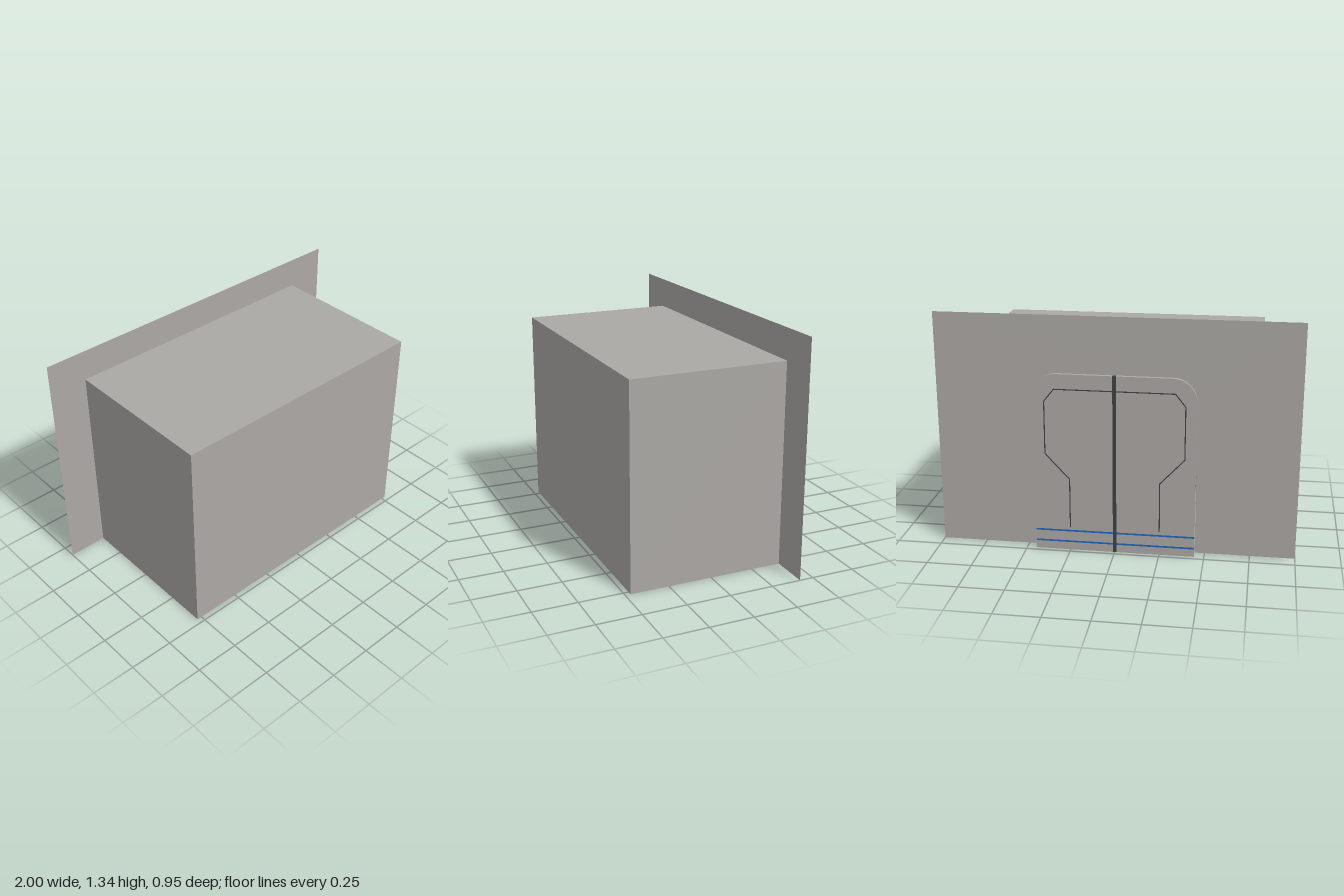
import * as THREE from 'three';

const grey = new THREE.MeshStandardMaterial({ color: 0xaba8a4, side: THREE.DoubleSide });
grey.name = 'warm grey';
const dark = new THREE.MeshStandardMaterial({ color: 0x3e4242 });
dark.name = 'dark grey';
const blue = new THREE.MeshStandardMaterial({ color: 0x1f66c0 });
blue.name = 'stripe blue';

const HALF = 0.445, TOP = 1.025, RADIUS = 0.13; // doorway outline
const WALL_Z = -0.42, DOOR_BACK = -0.475, DOOR_DEPTH = 0.02;

function add(parent, name, geometry, material, x = 0, y = 0, z = 0) {
  const mesh = new THREE.Mesh(geometry, material);
  mesh.name = name;
  mesh.position.set(x, y, z);
  parent.add(mesh);
  return mesh;
}

// Half of the arched outline, from x = inner to the jamb on the given side
function leafShape(side, inner) {
  const s = new THREE.Shape();
  s.moveTo(side * inner, 0);
  s.lineTo(side * HALF, 0);
  s.lineTo(side * HALF, TOP - RADIUS);
  s.absarc(side * (HALF - RADIUS), TOP - RADIUS, RADIUS, side > 0 ? 0 : Math.PI, Math.PI / 2, side < 0);
  s.lineTo(side * inner, TOP);
  s.closePath();
  return s;
}

// Thin straight groove between two points on the door's outer face
function groove(parent, a, b) {
  const dx = b[0] - a[0], dy = b[1] - a[1];
  const bar = add(parent, 'doorGroove', new THREE.BoxGeometry(Math.hypot(dx, dy) + 0.004, 0.006, 0.002),
    dark, (a[0] + b[0]) / 2, (a[1] + b[1]) / 2, DOOR_BACK);
  bar.rotation.z = Math.atan2(dy, dx);
}

export function createModel() {
  const model = new THREE.Group();
  model.name = 'cabinWithSlidingDoor';

  // Cabin box, open towards the wall
  const boxGeo = new THREE.BoxGeometry(1.555, 1.16, 0.89);
  boxGeo.setIndex(Array.from(boxGeo.index.array).slice(0, 30));
  boxGeo.clearGroups();
  add(model, 'cabin', boxGeo, grey, 0, 0.58, 0.025);

  // Flat wall with an arched doorway cut up from its lower edge
  const wall = new THREE.Shape();
  wall.moveTo(-1, 0);
  wall.lineTo(-HALF, 0);
  wall.lineTo(-HALF, TOP - RADIUS);
  wall.absarc(-HALF + RADIUS, TOP - RADIUS, RADIUS, Math.PI, Math.PI / 2, true);
  wall.absarc(HALF - RADIUS, TOP - RADIUS, RADIUS, Math.PI / 2, 0, true);
  wall.lineTo(HALF, 0);
  wall.lineTo(1, 0);
  wall.lineTo(1, 1.335);
  wall.lineTo(-1, 1.335);
  wall.closePath();
  add(model, 'wall', new THREE.ShapeGeometry(wall, 12), grey, 0, 0, WALL_Z);

  // Two door leaves with a dark seam between them
  const door = new THREE.Group();
  door.name = 'door';
  model.add(door);
  const path = [[0.25, 0.14], [0.25, 0.425], [0.385, 0.57], [0.385, 0.87], [0.33, 0.94], [0.012, 0.94]];
  for (const side of [1, -1]) {
    const leaf = new THREE.ExtrudeGeometry(leafShape(side, 0.01), {
      depth: DOOR_DEPTH, bevelEnabled: false, curveSegments: 12,
    });
    add(door, side > 0 ? 'leftDoorLeaf' : 'rightDoorLeaf', leaf, grey, 0, 0, DOOR_BACK);
    for (let i = 1; i < path.length; i++) {
      groove(door, [side * path[i - 1][0], path[i - 1][1]], [side * path[i][0], path[i][1]]);
    }
    for (const y of [0.115, 0.05]) {
      add(door, 'doorStripe', new THREE.BoxGeometry(HALF - 0.01, 0.01, 0.002), blue,
        side * (HALF + 0.01) / 2, y, DOOR_BACK);
    }
  }
  add(door, 'doorSeam', new THREE.BoxGeometry(0.02, TOP, DOOR_DEPTH - 0.002), dark,
    0, TOP / 2, DOOR_BACK + DOOR_DEPTH / 2);

  // Stripes along the inside of the cabin's far wall
  for (const y of [0.1, 0.04]) {
    add(model, 'cabinStripe', new THREE.BoxGeometry(1.54, 0.01, 0.004), blue, 0, y, 0.466);
  }
  return model;
}
